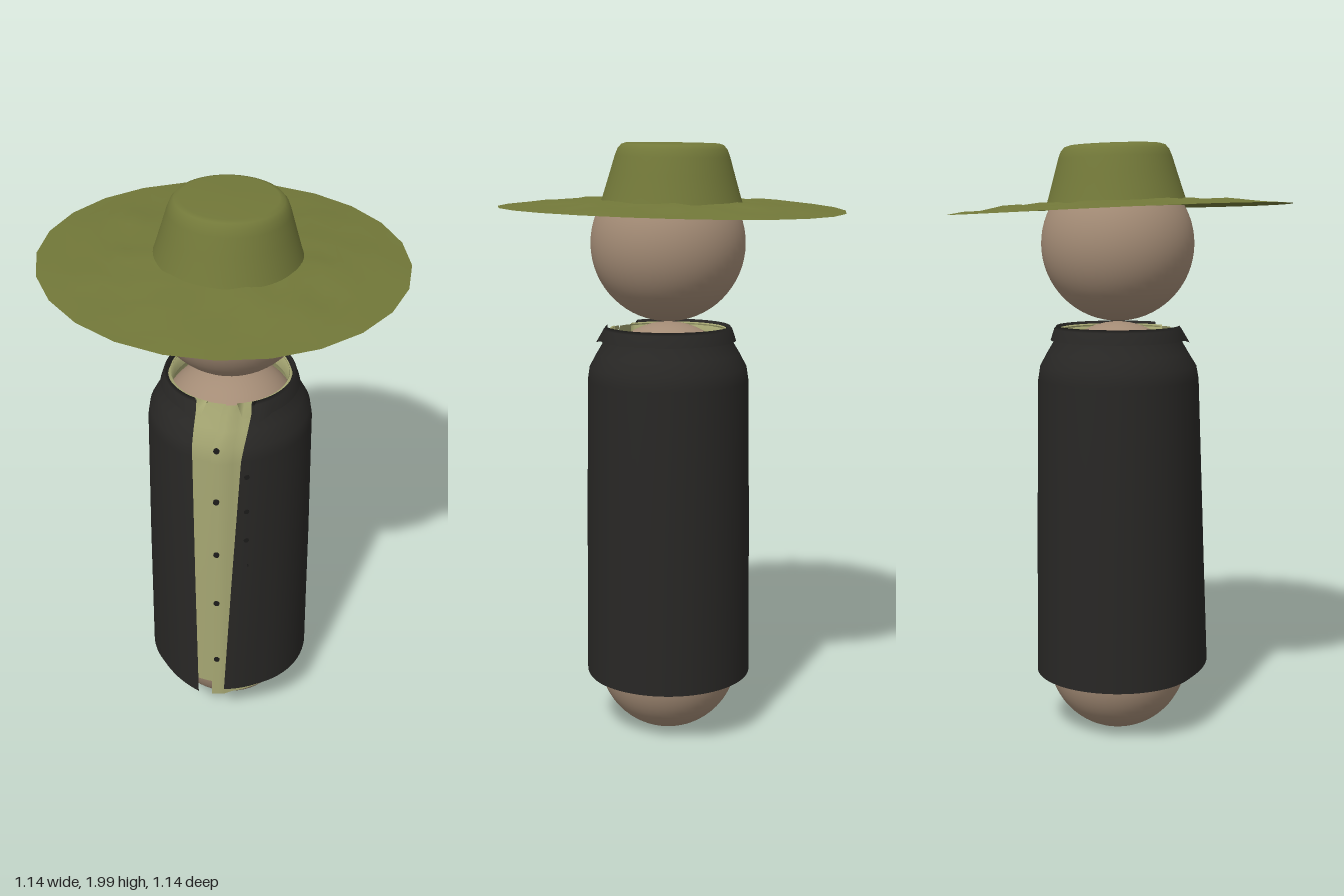
import * as THREE from 'three';

const CX = 0.015, CZ = 0.015; // axis of the figure
const rad = THREE.MathUtils.degToRad;
const mat = (color) => new THREE.MeshStandardMaterial({ color, side: THREE.DoubleSide });

// Point at heading a (degrees from the front towards the model's right)
const polar = (a, r, y) =>
  new THREE.Vector3(CX - r * Math.sin(rad(a)), y, CZ + r * Math.cos(rad(a)));

// Wrapped cloth: rows of [y, radius, startAngle, endAngle], bottom to top.
// warp(a0Dist, a1Dist, row) gives [dRadius, dY] from the distance to either edge.
function cloth(rows, segs, warp = () => [0, 0]) {
  const pos = [], idx = [];
  rows.forEach(([y, r, a0, a1], i) => {
    for (let j = 0; j <= segs; j++) {
      const a = a0 + (a1 - a0) * j / segs;
      const [dr, dy] = warp(a - a0, a1 - a, i);
      pos.push(...polar(a, r + dr, y + dy).toArray());
      if (i < rows.length - 1 && j < segs) {
        const p = i * (segs + 1) + j, q = p + segs + 1;
        idx.push(p, q, p + 1, p + 1, q, q + 1);
      }
    }
  });
  const g = new THREE.BufferGeometry();
  g.setAttribute('position', new THREE.Float32BufferAttribute(pos, 3));
  g.setIndex(idx);
  g.computeVertexNormals();
  return g;
}

export function createModel() {
  const model = new THREE.Group();
  const skin = mat(0xa48c76), nosePink = mat(0x94686a), olive = mat(0x727839);
  const coatBlack = mat(0x282725), shirtGreen = mat(0xa5a672), buttonBlack = mat(0x1c1b1a);
  const add = (name, geo, material, parent = model) => {
    const m = new THREE.Mesh(geo, material);
    m.name = name;
    parent.add(m);
    return m;
  };

  // Capsule body and ball head
  add('body', new THREE.CapsuleGeometry(0.238, 0.932, 16, 48), skin).position.set(CX, 0.709, CZ);
  add('head', new THREE.SphereGeometry(0.254, 48, 32), skin).position.set(CX, 1.67, CZ);

  // Teardrop nose
  const drop = [[0, -0.04], [0.014, -0.036], [0.023, -0.02], [0.023, -0.004],
    [0.016, 0.02], [0.007, 0.037], [0, 0.043]].map(p => new THREE.Vector2(...p));
  add('nose', new THREE.LatheGeometry(drop, 20), nosePink).position.copy(polar(43, 0.25, 1.652));

  // Shirt, the left half overlapping the right, with a pointed tail in front
  add('shirt', cloth([
    [0.21, 0.254, 36, 406], [0.7, 0.253, 36, 406], [1.2, 0.25, 36, 406], [1.26, 0.243, 36, 405],
    [1.31, 0.222, 36, 402], [1.36, 0.2, 36, 400], [1.388, 0.19, 36, 398],
  ], 72, (d0, d1, i) => [
    d1 < 14 ? 0.008 : 0,
    i === 0 ? -0.055 * Math.max(0, 1 - d1 / 75) : 0,
  ]), shirtGreen);
  add('shirtCollar', cloth([
    [1.345, 0.211, 58, 382], [1.392, 0.193, 54, 386], [1.34, 0.186, 52, 388],
  ], 48), shirtGreen);

  // Open coat, the right flap flaring away at the hem
  const flare = [0.042, 0.022, 0.006, 0.004, 0, 0, 0];
  add('coat', cloth([
    [0.207, 0.279, 52, 396], [0.72, 0.275, 55, 391], [1.22, 0.268, 58, 385], [1.265, 0.261, 59, 383],
    [1.31, 0.237, 61, 379], [1.355, 0.21, 63, 374], [1.39, 0.2, 64, 373],
  ], 72, (d0, d1, i) => [
    flare[i] * (Math.max(0, 1 - d0 / 40) ** 1.5 + 0.35 * Math.max(0, 1 - d1 / 25)),
    i === 0 ? 0.012 * Math.max(0, 1 - Math.min(d0, d1) / 60) : 0,
  ]), coatBlack);

  // Turned-down coat collar with spread points
  add('coatCollar', cloth([
    [1.352, 0.225, 60, 372], [1.39, 0.213, 63, 372], [1.4, 0.205, 64, 373], [1.36, 0.199, 65, 373],
  ], 60, (d0, d1, i) => {
    const tip = Math.max(0, 1 - Math.min(d0, d1) / 16);
    return i === 0 ? [0.018 * tip, -0.012 * tip] : [0, 0];
  }), coatBlack);

  // Buttons down the shirt placket and the coat's left edge
  const button = (name, a, r, y, size) => {
    const g = new THREE.CylinderGeometry(size, size, 0.008, 12).rotateX(Math.PI / 2);
    const b = add(name, g, buttonBlack);
    b.position.copy(polar(a, r, y));
    b.rotation.y = -rad(a);
  };
  [1.25, 1.05, 0.825, 0.605, 0.335].forEach((y, i) =>
    button('shirtButton', 42, i ? 0.262 : 0.253, y, 0.01));
  [1.16, 1.02, 0.9, 0.79, 0.68, 0.55, 0.43].forEach(y =>
    button('coatButton', 21, 0.28 - 0.008 * y, y, 0.009));

  // Hat, slightly tilted
  const hat = new THREE.Group();
  hat.name = 'hat';
  hat.position.y = 1.785;
  hat.rotation.set(-0.012, 0, -0.03);
  model.add(hat);

  // Rumpled brim, low at the rim and rising to the crown
  const brim = new THREE.RingGeometry(0.19, 0.57, 24, 7, rad(-4)).rotateX(-Math.PI / 2);
  const p = brim.attributes.position;
  for (let i = 0; i < p.count; i++) {
    const x = p.getX(i), z = p.getZ(i), r = Math.hypot(x, z), a = Math.atan2(z, x);
    const t = (r - 0.19) / 0.38;
    const fold = Math.sin(7 * a + 5 * t) + 0.7 * Math.sin(11 * a - 7 * t + 1);
    p.setY(i, 0.028 * (1 - t) + 0.007 * fold * Math.sin(Math.PI * t) - 0.004 * t * Math.cos(2 * a + 2));
  }
  // Join the two ends of the ring so the shading has no seam
  brim.computeVertexNormals();
  const n = brim.attributes.normal;
  for (let k = 0; k < 8; k++) {
    const i = k * 25, j = i + 24;
    const v = new THREE.Vector3().fromBufferAttribute(n, i)
      .add(new THREE.Vector3().fromBufferAttribute(n, j)).normalize();
    n.setXYZ(i, v.x, v.y, v.z);
    n.setXYZ(j, v.x, v.y, v.z);
  }
  add('hatBrim', brim, olive, hat);

  // Tapered crown with a rounded top edge
  const crown = [[0.236, 0.005], [0.224, 0.04], [0.203, 0.11], [0.187, 0.165], [0.178, 0.188],
    [0.166, 0.202], [0.15, 0.207], [0, 0.209]].map(q => new THREE.Vector2(...q));
  add('hatCrown', new THREE.LatheGeometry(crown, 48), olive, hat).position.set(0.013, 0, 0.003);

  return model;
}
